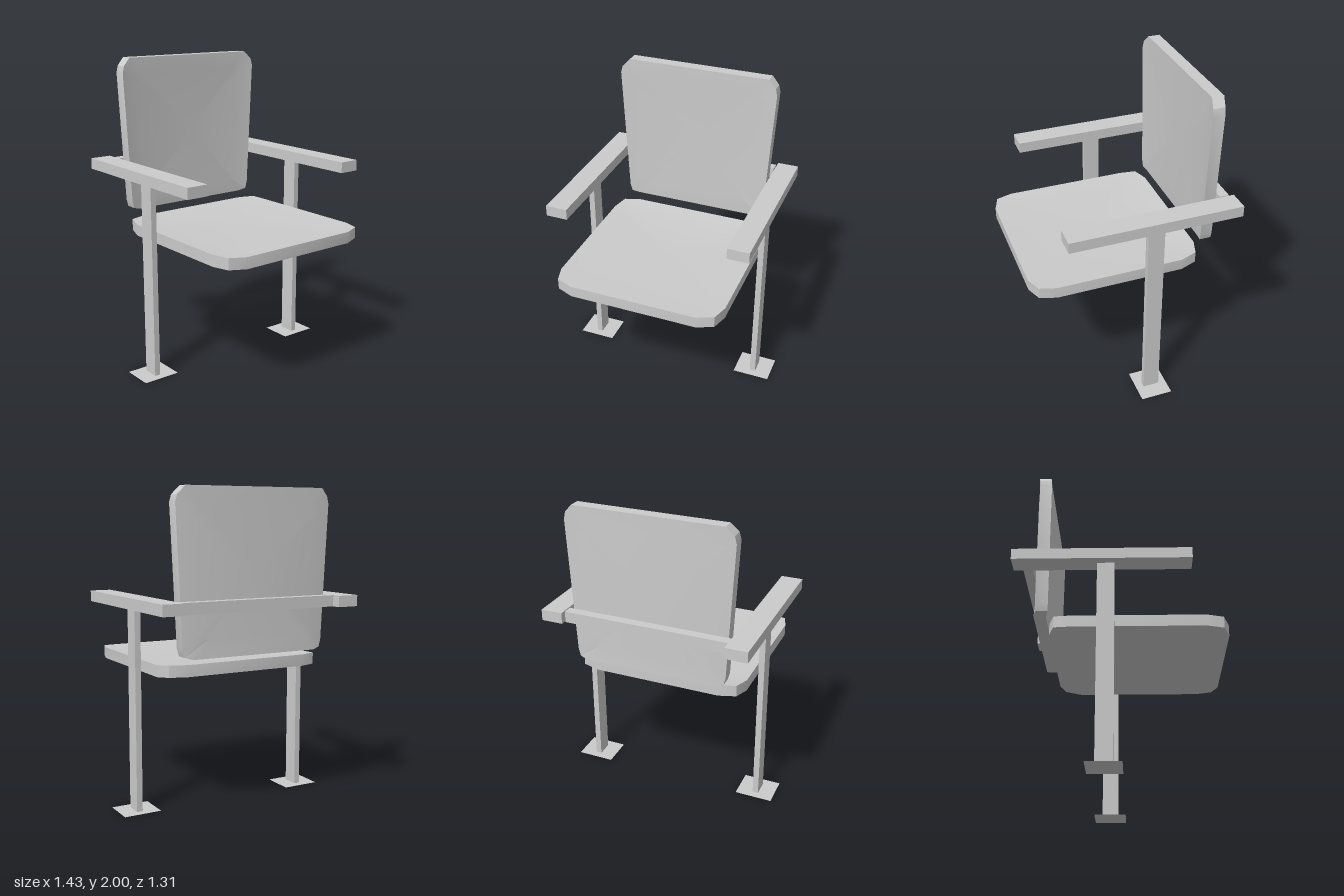
import * as THREE from 'three';
import { toCreasedNormals } from 'three/addons/utils/BufferGeometryUtils.js';

const material = new THREE.MeshStandardMaterial({ color: 0xcccccc });

function add(group, name, geometry, mat = material) {
  const mesh = new THREE.Mesh(geometry, mat);
  mesh.name = name;
  group.add(mesh);
  return mesh;
}

// Box given by its minimum and maximum corners
function box(group, name, [x0, y0, z0], [x1, y1, z1]) {
  const mesh = add(group, name, new THREE.BoxGeometry(x1 - x0, y1 - y0, z1 - z0));
  mesh.position.set((x0 + x1) / 2, (y0 + y1) / 2, (z0 + z1) / 2);
}

// Dished panel: half outline of [u, v, lift], mirrored in u, with a flat middle.
// The panel lies between base + lift and base + lift + thickness.
function panel(half, base, thickness) {
  const mirrored = half.map(([u, v, w]) => [-u, v, w]).reverse();
  const outer = [...half, ...mirrored];
  const n = outer.length;
  const vMid = (half[0][1] + half[half.length - 1][1]) / 2;
  const inner = outer.map(([u, v]) => [u * 0.78, vMid + (v - vMid) * 0.78, 0]);
  const positions = [];
  const tri = (...pts) => pts.forEach(([p, top]) =>
    positions.push(p[0], p[1], base + p[2] + (top ? thickness : 0)));
  const centre = [0, vMid, 0];
  for (let i = 0; i < n; i++) {
    const j = (i + 1) % n;
    const [a, b, c, d] = [outer[i], outer[j], inner[i], inner[j]];
    // Upper and lower faces
    tri([centre, 1], [c, 1], [d, 1]);
    tri([c, 1], [a, 1], [b, 1]);
    tri([c, 1], [b, 1], [d, 1]);
    tri([centre, 0], [d, 0], [c, 0]);
    tri([c, 0], [b, 0], [a, 0]);
    tri([c, 0], [d, 0], [b, 0]);
    // Rim
    tri([a, 0], [b, 0], [b, 1]);
    tri([a, 0], [b, 1], [a, 1]);
  }
  const geometry = new THREE.BufferGeometry();
  geometry.setAttribute('position', new THREE.Float32BufferAttribute(positions, 3));
  geometry.computeVertexNormals();
  return toCreasedNormals(geometry, 0.35);
}

export function createModel() {
  const chair = new THREE.Group();
  chair.name = 'armchair';

  // Seat: v runs towards the back, lift is upwards
  const seat = panel([
    [0.41, -0.653, 0.005], [0.515, -0.615, 0.01], [0.547, -0.51, 0.01],
    [0.547, 0.3, 0.01], [0.517, 0.405, 0.02], [0.412, 0.44, 0.02],
  ], 0.866, 0.073);
  seat.rotateX(-Math.PI / 2);
  add(chair, 'seat', seat).position.x = -0.007;

  // Backrest: sides bend slightly forward
  const back = panel([
    [0.425, 1.004, 0.002], [0.474, 1.018, 0.016], [0.487, 1.065, 0.018],
    [0.53, 1.905, 0.018], [0.518, 1.95, 0.016], [0.47, 2.0, 0.004],
  ], -0.54, 0.076);
  add(chair, 'backrest', back).position.x = -0.007;

  // Armrests, each a little different in place
  box(chair, 'leftArmrest', [0.52, 1.275, -0.63], [0.657, 1.345, 0.467]);
  box(chair, 'rightArmrest', [-0.67, 1.275, -0.66], [-0.53, 1.345, 0.432]);

  // Rail behind the backrest
  box(chair, 'backRail', [-0.53, 1.275, -0.6], [0.513, 1.345, -0.54]);

  // Legs with thin foot plates
  const plateMaterial = material.clone();
  plateMaterial.side = THREE.DoubleSide;
  for (const [side, x] of [['left', 0.593], ['right', -0.595]]) {
    box(chair, side + 'Leg', [x - 0.019, 0, -0.144], [x + 0.019, 1.275, -0.038]);
    const plate = new THREE.PlaneGeometry(0.245, 0.207).rotateX(-Math.PI / 2);
    add(chair, side + 'FootPlate', plate, plateMaterial).position.set(x, 0, -0.091);
  }
  return chair;
}
